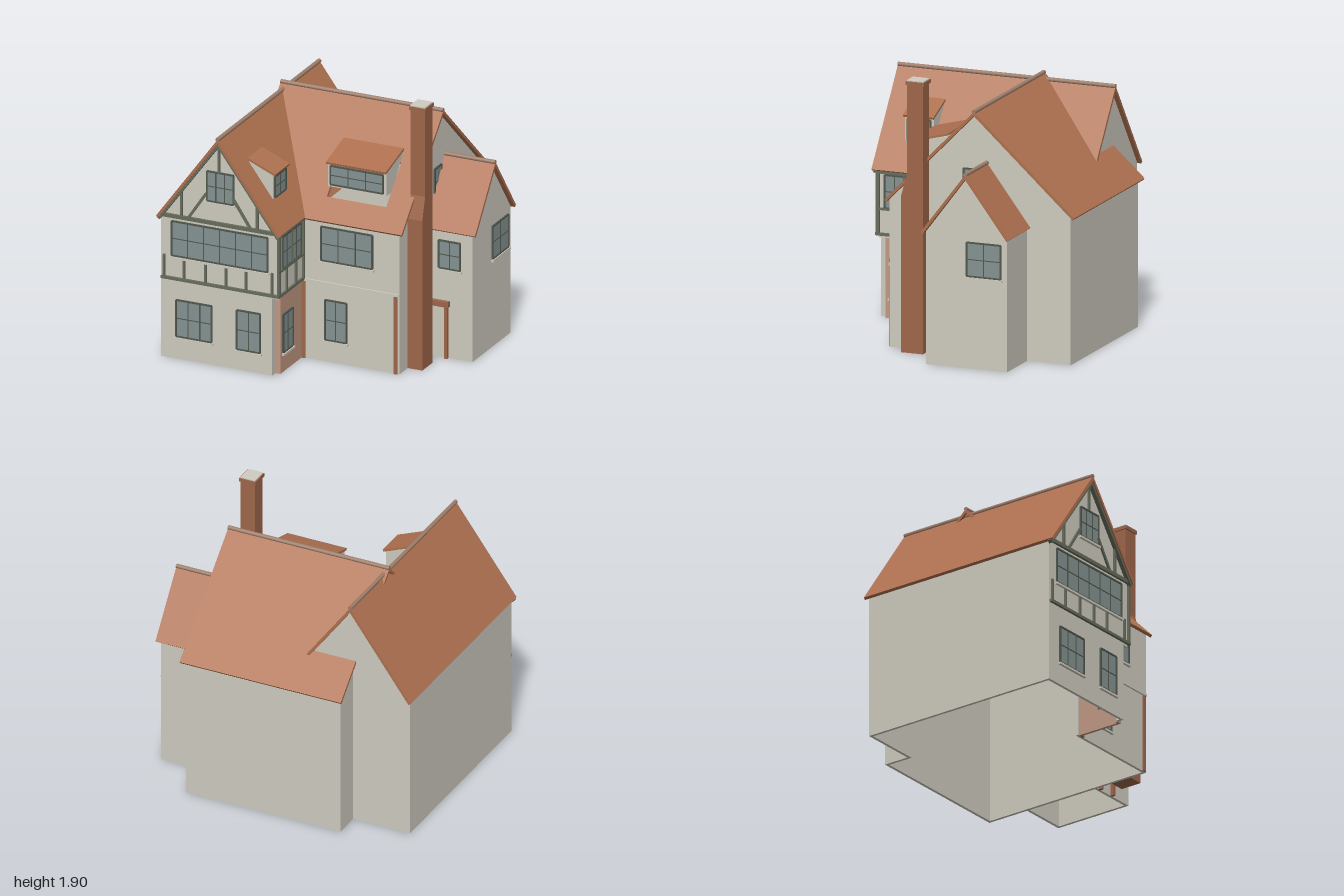
import * as THREE from 'three';

const mat = (name, color) => {
  const m = new THREE.MeshStandardMaterial({ color });
  m.name = name;
  return m;
};
const render = mat('cream render', 0xcfccc0);
const tile = mat('clay roof tile', 0xaf7150);
const brick = mat('red brick', 0xa0674a);
const paleBrick = mat('pale brick', 0xc29a84);
const timber = mat('grey green timber', 0x686d5d);
const frameMat = mat('window frame', 0x52584e);
const glass = mat('window glass', 0x849492);
const ridgeMat = mat('ridge tile', 0xa07f6c);

const T = 0.02; // wall and roof thickness

function add(parent, name, geometry, material) {
  const m = new THREE.Mesh(geometry, material);
  m.name = name;
  parent.add(m);
  return m;
}

// box given by its minimum and maximum corners
function box(parent, name, material, [x0, y0, z0], [x1, y1, z1]) {
  const m = add(parent, name, new THREE.BoxGeometry(x1 - x0, y1 - y0, z1 - z0), material);
  m.position.set((x0 + x1) / 2, (y0 + y1) / 2, (z0 + z1) / 2);
  return m;
}

const shapeOf = pts => new THREE.Shape(pts.map(p => new THREE.Vector2(...p)));
const rect = (x0, y0, x1, y1) => [[x0, y0], [x1, y0], [x1, y1], [x0, y1]];

function plate(shape, depth = T) {
  return new THREE.ExtrudeGeometry(shape, { depth, bevelEnabled: false }).translate(0, 0, -depth);
}

// straight board between two points on a wall face
function board(parent, name, x0, y0, x1, y1, w, material = timber, z = 0.004, depth = 0.02) {
  const len = Math.hypot(x1 - x0, y1 - y0);
  const m = add(parent, name, new THREE.BoxGeometry(len, w, depth), material);
  m.position.set((x0 + x1) / 2, (y0 + y1) / 2, z);
  m.rotation.z = Math.atan2(y1 - y0, x1 - x0);
  return m;
}

// framed window with glazing bars and an optional sill
function windowUnit(parent, [x0, y0, x1, y1, cols, rows, sill = true]) {
  const g = new THREE.Group();
  g.name = 'window';
  parent.add(g);
  box(g, 'pane', glass, [x0, y0, -0.004], [x1, y1, 0.004]);
  for (let i = 0; i <= cols; i++) {
    const edge = i === 0 || i === cols, x = x0 + (x1 - x0) * i / cols;
    board(g, 'uprightBar', x, y0, x, y1, edge ? 0.011 : 0.007, frameMat, 0, edge ? 0.022 : 0.016);
  }
  for (let i = 0; i <= rows; i++) {
    const edge = i === 0 || i === rows, y = y0 + (y1 - y0) * i / rows;
    board(g, 'crossBar', x0, y, x1, y, edge ? 0.011 : 0.006, frameMat, 0, edge ? 0.022 : 0.016);
  }
  if (sill) box(g, 'sill', render, [x0 - 0.012, y0 - 0.02, -0.01], [x1 + 0.012, y0 - 0.005, 0.018]);
}

// wall with window openings; local x runs to the right as seen from outside
function wall(parent, name, yaw, offset, pts, windows = [], material = render) {
  const g = new THREE.Group();
  g.name = name;
  g.rotation.y = yaw;
  g.translateZ(offset);
  parent.add(g);
  const shape = shapeOf(pts);
  for (const w of windows) {
    shape.holes.push(new THREE.Path(rect(w[0], w[1], w[2], w[3]).map(p => new THREE.Vector2(...p))));
    windowUnit(g, w);
  }
  add(g, 'wallPanel', plate(shape), material);
  return g;
}

// one roof slope: length along the eave, then run and rise up to the ridge
function slope(parent, name, pos, yaw, length, run, rise, hole) {
  const L = Math.hypot(run, rise), shape = shapeOf(rect(-length / 2, 0, length / 2, L - 0.012));
  if (hole) shape.holes.push(new THREE.Path(rect(...hole).map(p => new THREE.Vector2(...p))));
  const m = add(parent, name, plate(shape), tile);
  m.rotation.set(-Math.atan2(run, rise), yaw, 0, 'YXZ');
  m.position.set(...pos);
}

function ridge(parent, alongX, a, b, y, other) {
  const geo = new THREE.CylinderGeometry(0.015, 0.015, b - a, 10);
  const m = add(parent, 'ridgeTiles', geo, ridgeMat);
  const mid = (a + b) / 2;
  if (alongX) { m.rotation.z = Math.PI / 2; m.position.set(mid, y, other); }
  else { m.rotation.x = Math.PI / 2; m.position.set(other, y, mid); }
}

// shed dormer in a local frame: x across, z out of the roof
function dormer(parent, name, pos, yaw, w, h, depth, rise, win) {
  const g = new THREE.Group();
  g.name = name;
  g.position.set(...pos);
  g.rotation.y = yaw;
  parent.add(g);
  const side = shapeOf([[0, 0], [0, h], [-depth, h + rise * 0.8], [-0.09, 0]]);
  const body = new THREE.ExtrudeGeometry(side, { depth: w, bevelEnabled: false });
  body.rotateY(-Math.PI / 2).translate(w / 2, 0, 0);
  add(g, 'dormerBody', body, render);
  const roof = add(g, 'dormerRoof', new THREE.BoxGeometry(w + 0.01, 0.016, Math.hypot(depth + 0.02, rise)), tile);
  roof.position.set(0, h + rise / 2, 0.01 - depth / 2);
  roof.rotation.x = Math.atan2(rise, depth + 0.02);
  windowUnit(g, win);
}

export function createModel() {
  const house = new THREE.Group();
  house.name = 'house';
  const E = Math.PI / 2, W = -Math.PI / 2, B = Math.PI;

  // front wing walls
  const gable = wall(house, 'frontGable', 0, 0.86,
    [[-0.98, 0], [-0.147, 0], [-0.147, 0.57], [-0.1, 0.57], [-0.1, 1.035], [-0.54, 1.63], [-0.98, 1.03]],
    [[-0.9, 0.75, -0.18, 1.0, 6, 2], [-0.865, 0.165, -0.6, 0.43, 3, 2],
      [-0.41, 0.15, -0.235, 0.435, 2, 2], [-0.635, 1.195, -0.435, 1.41, 3, 2]]);
  wall(house, 'wingLeftWall', W, 0.98, rect(-0.67, 0, 0.86, 1.03));
  wall(house, 'wingBackGable', B, 0.67,
    [[0.53, 0], [0.98, 0], [0.98, 1.03], [0.54, 1.63], [0.22, 1.19], [0.22, 1.15], [0.53, 1.15]]);
  const jetty = wall(house, 'upperSideWall', E, -0.1, rect(-0.86, 0.57, -0.45, 1.03),
    [[-0.81, 0.77, -0.52, 1.0, 4, 2, false]]);
  wall(house, 'brickSideWall', E, -0.11, rect(-0.81, 0, -0.46, 0.57),
    [[-0.775, 0.145, -0.625, 0.42, 2, 2]], paleBrick);
  box(house, 'brickReturn', paleBrick, [-0.15, 0, 0.79], [-0.13, 0.57, 0.81]);
  box(house, 'brickReturnFront', paleBrick, [-0.15, 0, 0.79], [-0.112, 0.57, 0.809]);
  box(house, 'cornerPier', render, [-0.167, 0, 0.81], [-0.147, 0.57, 0.858]);
  box(house, 'jettySoffit', render, [-0.15, 0.56, 0.46], [-0.101, 0.572, 0.858]);

  // front timber framing
  board(gable, 'lowerBeam', -0.975, 0.585, -0.088, 0.585, 0.02, timber, 0.006, 0.024);
  board(gable, 'upperBeam', -0.98, 1.04, -0.088, 1.04, 0.026, timber, 0.006, 0.024);
  board(gable, 'cornerPost', -0.097, 0.58, -0.097, 1.03, 0.018);
  for (const x of [-0.955, -0.805, -0.645, -0.49, -0.34, -0.145])
    board(gable, 'stud', x, 0.59, x, Math.abs(x + 0.55) > 0.39 ? 0.75 : 0.735, 0.015);
  board(gable, 'kingPost', -0.543, 1.41, -0.543, 1.61, 0.016);
  for (const s of [-1, 1]) {
    const cx = -0.54;
    board(gable, 'gableStud', cx + s * 0.285, 1.05, cx + s * 0.285, 1.23, 0.018);
    board(gable, 'brace', cx + s * 0.23, 1.05, cx + s * 0.1, 1.245, 0.018);
    board(gable, 'bargeboard', cx + s * 0.45, 1.015, cx, 1.625, 0.026, timber, 0.016, 0.03);
  }

  // side timber framing
  board(jetty, 'lowerBeam', -0.87, 0.585, -0.47, 0.585, 0.02);
  board(jetty, 'midBeam', -0.87, 0.762, -0.47, 0.762, 0.016);
  board(jetty, 'topBeam', -0.87, 1.018, -0.47, 1.018, 0.02);
  for (const x of [-0.857, -0.48]) board(jetty, 'post', x, 0.58, x, 1.02, 0.02);
  for (const x of [-0.745, -0.6]) board(jetty, 'stud', x, 0.59, x, 0.76, 0.015);
  board(jetty, 'centrePost', -0.665, 0.77, -0.665, 1.01, 0.014);

  // main block walls
  wall(house, 'mainFrontWall', 0, 0.47, rect(-0.14, 0, 0.62, 1.03),
    [[0.035, 0.735, 0.42, 0.98, 3, 2], [0.065, 0.16, 0.225, 0.45, 2, 2]]);
  wall(house, 'mainRightGable', E, 0.62,
    [[-0.47, 0], [0.86, 0], [0.86, 1.04], [0.16, 1.675], [-0.47, 1.03]],
    [[0.075, 1.09, 0.18, 1.3, 2, 2]]);
  wall(house, 'mainBackWall', B, 0.86, rect(-0.62, 0, 0.55, 1.04));
  wall(house, 'mainLeftWall', W, 0.55, [[-0.86, 0], [-0.65, 0], [-0.65, 1.22], [-0.86, 1.04]]);
  box(house, 'stringCourse', render, [-0.09, 0.565, 0.46], [0.615, 0.582, 0.482]);
  for (const x of [-0.11, 0.58])
    box(house, 'brickPilaster', brick, [x, 0, 0.46], [x + 0.027, 0.565, 0.48]);

  // right wing walls
  wall(house, 'rightWingFront', 0, 0.055, rect(0.62, 0, 0.97, 0.93), [[0.72, 0.65, 0.88, 0.85, 2, 2]]);
  wall(house, 'rightWingBack', B, 0.54, rect(-0.97, 0, -0.62, 0.93));
  wall(house, 'rightWingGable', E, 0.97,
    [[-0.055, 0], [0.54, 0], [0.54, 0.925], [0.243, 1.32], [-0.055, 0.925]],
    [[0.246, 0.645, 0.497, 0.88, 2, 2]]);

  // door surround
  for (const x of [0.64, 0.77]) box(house, 'doorPost', brick, [x, 0, 0.05], [x + 0.02, 0.38, 0.08]);
  box(house, 'doorLintel', brick, [0.625, 0.375, 0.05], [0.8, 0.415, 0.085]);

  // roofs
  const L = Math.hypot(0.66, 0.675) / 0.675;
  slope(house, 'mainRoofFront', [0.04, 1.03, 0.5], 0, 1.22, 0.66, 0.675,
    [-0.01, 0.13 * L, 0.435, 0.37 * L]);
  slope(house, 'mainRoofBack', [0.04, 1.035, -0.9], B, 1.22, 0.74, 0.67);
  ridge(house, true, -0.57, 0.65, 1.705, -0.16);
  slope(house, 'wingRoofLeft', [-1, 1.035, 0.1], W, 1.6, 0.46, 0.63);
  slope(house, 'wingRoofRight', [-0.075, 1.035, 0.1], E, 1.6, 0.465, 0.63);
  ridge(house, false, -0.7, 0.9, 1.665, -0.54);
  slope(house, 'rightWingRoofFront', [0.81, 0.93, 0.08], 0, 0.38, 0.325, 0.425);
  slope(house, 'rightWingRoofBack', [0.81, 0.93, -0.565], B, 0.38, 0.32, 0.425);
  ridge(house, true, 0.62, 1.0, 1.355, -0.245);

  // dormers
  dormer(house, 'frontDormer', [0.253, 1.235, 0.365], 0, 0.44, 0.175, 0.265, 0.075,
    [-0.198, 0.018, 0.198, 0.153, 3, 2, false]);
  dormer(house, 'sideDormer', [-0.213, 1.215, 0.605], E, 0.215, 0.185, 0.19, 0.085,
    [-0.083, 0.013, 0.083, 0.165, 2, 2, false]);

  // chimney with a sloping shoulder
  const stack = shapeOf([[-0.34, 0], [-0.18, 0], [-0.18, 1.88], [-0.295, 1.88], [-0.295, 1.25], [-0.34, 1.09]]);
  const chimney = add(house, 'chimney', plate(stack, 0.11), brick);
  chimney.rotation.y = E;
  chimney.position.x = 0.73;
  box(house, 'chimneyCap', brick, [0.612, 1.87, 0.17], [0.736, 1.895, 0.305]);
  box(house, 'chimneyTop', render, [0.618, 1.895, 0.176], [0.73, 1.902, 0.299]);

  return house;
}
